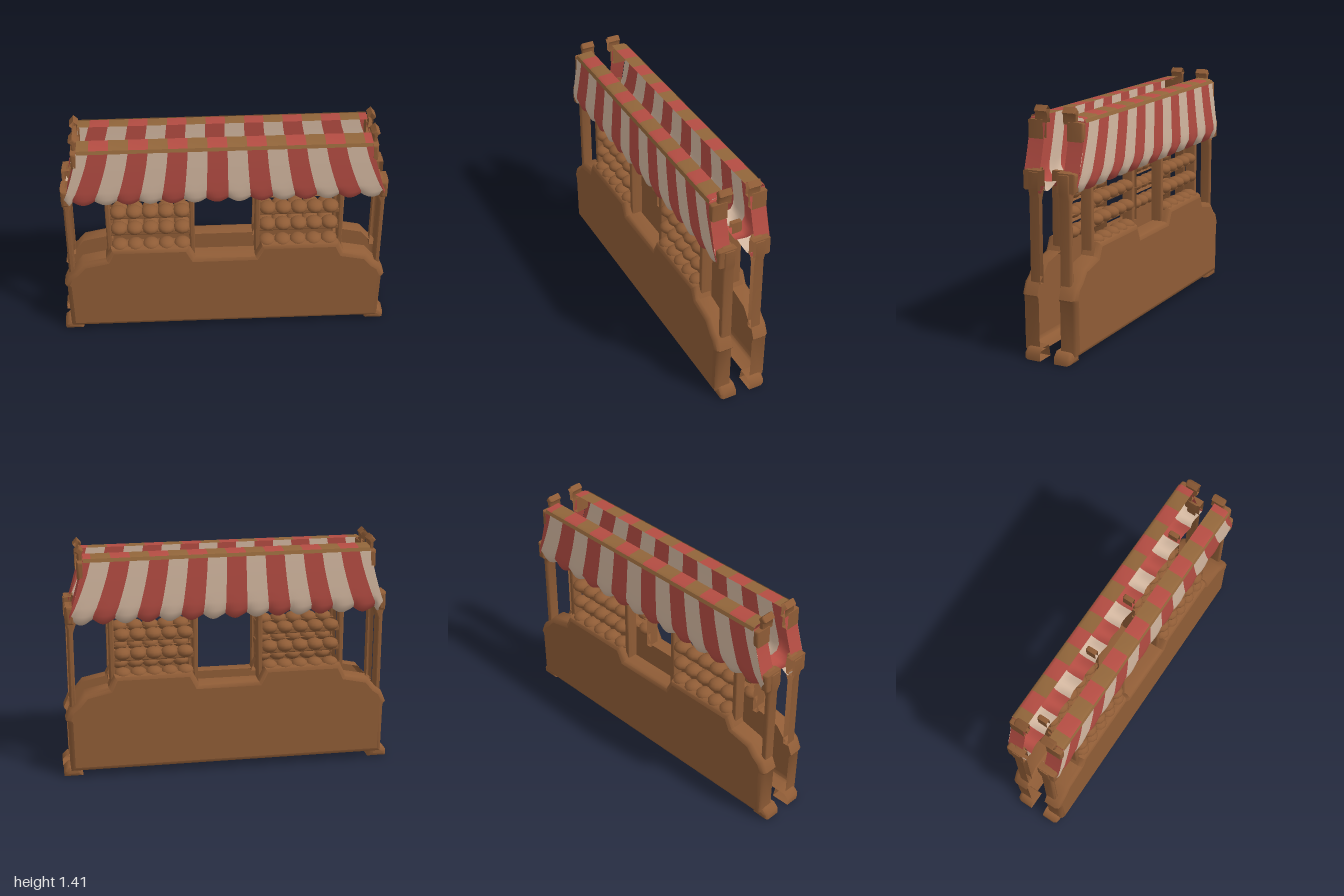
import * as THREE from 'three';
import { toCreasedNormals } from 'three/addons/utils/BufferGeometryUtils.js';

const flat = (name, color) => new THREE.MeshStandardMaterial({ name, color, side: THREE.DoubleSide });

// Surface grid from a rule f(i, j) -> [x, y, z]; i runs right, j runs up
function grid(nu, nv, f) {
  const pos = [], idx = [];
  for (let j = 0; j <= nv; j++) for (let i = 0; i <= nu; i++) pos.push(...f(i, j));
  for (let j = 0; j < nv; j++) for (let i = 0; i < nu; i++) {
    const a = j * (nu + 1) + i, c = a + nu + 1;
    idx.push(a, a + 1, c, a + 1, c + 1, c);
  }
  const g = new THREE.BufferGeometry();
  g.setAttribute('position', new THREE.Float32BufferAttribute(pos, 3));
  g.setIndex(idx);
  g.computeVertexNormals();
  return g;
}

// Open-backed relief: counter-clockwise outline, rounded rim and flat face
function shell(pts, zBack, zFront, bevel) {
  const n = pts.length;
  const inset = d => pts.map((p, i) => {
    const a = pts[(i + n - 1) % n], b = pts[(i + 1) % n];
    const e = new THREE.Vector2(p[0] - a[0], p[1] - a[1]).normalize();
    const f = new THREE.Vector2(b[0] - p[0], b[1] - p[1]).normalize();
    const k = d / Math.max(0.5, 1 + e.dot(f));
    return new THREE.Vector2(p[0] - (e.y + f.y) * k, p[1] + (e.x + f.x) * k);
  });
  const rim = [[0, zBack], [0, zFront - bevel], [0.3, zFront - bevel * 0.3], [1, zFront]]
    .map(([t, z]) => ({ ring: inset(t * bevel), z }));
  const wall = toCreasedNormals(grid(n, 3, (i, j) => {
    const p = rim[j].ring[i % n];
    return [p.x, p.y, rim[j].z];
  }), 0.9);
  const face = new THREE.ShapeGeometry(new THREE.Shape(rim[3].ring));
  face.translate(0, 0, zFront);
  return [wall, face];
}

// Copy of a geometry for the back half, keeping its faces turned outward
function flipped(geo) {
  const g = geo.index ? geo.toNonIndexed() : geo.clone();
  g.scale(1, 1, -1);
  const idx = [];
  for (let i = 0; i < g.attributes.position.count; i += 3) idx.push(i, i + 2, i + 1);
  g.setIndex(idx);
  return g;
}

export function createModel() {
  const root = new THREE.Group();
  root.name = 'marketStall';
  const wood = flat('wood brown', 0x8f5c36);
  const ridgeWood = flat('ridge brown', 0x91653a);
  const red = flat('awning red', 0xb34c42);
  const cream = flat('awning cream', 0xd2b69f);

  const front = new THREE.Group(), back = new THREE.Group();
  front.name = 'frontHalf';
  back.name = 'backHalf';
  root.add(front, back);

  // Each part appears on the front half and again on the back half
  const add = (name, material, ...geos) => geos.flat().forEach(g => {
    [[front, g], [back, flipped(g)]].forEach(([half, geo]) => {
      const m = new THREE.Mesh(geo, material);
      m.name = name;
      half.add(m);
    });
  });
  const mirrorX = (pts, s) => s > 0 ? pts : pts.map(([x, y]) => [-x, y]).reverse();
  const rect = (x0, x1, y0, y1) => [[x0, y0], [x1, y0], [x1, y1], [x0, y1]];

  // Counter with stepped top
  const half = [[0.96, 0.04], [0.965, 0.35], [0.98, 0.37], [0.95, 0.44], [0.91, 0.47],
    [0.86, 0.53], [0.72, 0.56], [0.685, 0.635], [0.22, 0.635], [0.18, 0.555]];
  add('counter', wood, shell([...half, ...mirrorX(half, -1)], 0.068, 0.172, 0.028));

  for (const s of [1, -1]) {
    // Feet
    add('foot', wood, shell(mirrorX([[0.885, 0], [1, 0], [1, 0.04], [0.97, 0.07], [0.9, 0.07]], s), 0.045, 0.15, 0.025));

    // Outer posts with flared brackets
    add('outerPost', wood, shell(mirrorX([[0.915, 0.43], [0.95, 0.43], [0.95, 0.92], [0.96, 0.96],
      [0.96, 1.06], [0.9, 1.08], [0.89, 0.97], [0.915, 0.9]], s), 0.065, 0.13, 0.012));
    add('bracket', wood, shell(mirrorX(rect(0.91, 0.955, 0.96, 1.07), s), 0.05, 0.165, 0.015));

    // Upper posts and finials
    add('upperPost', wood, shell(mirrorX(rect(0.84, 0.88, 1.23, 1.335), s), 0.075, 0.172, 0.012));
    add('finial', wood, shell(mirrorX([[0.845, 1.32], [0.875, 1.32], [0.875, 1.37], [0.89, 1.385],
      [0.865, 1.415], [0.84, 1.39], [0.85, 1.37]], s), 0.05, 0.13, 0.01));

    // Shelf posts
    for (const x of [0.195, 0.693])
      add('shelfPost', wood, shell(mirrorX(rect(x - 0.015, x + 0.015, 0.54, 1.02), s), 0.06, 0.128, 0.008));

    // Shelves
    for (const y of [0.71, 0.83])
      add('shelf', wood, shell(mirrorX(rect(0.2, 0.69, y, y + 0.035), s), 0.05, 0.125, 0.008));

    // Rounded goods in rows
    for (const [y, z] of [[0.628, 0.105], [0.748, 0.1], [0.865, 0.095]])
      for (let i = 0; i < 5; i++) {
        const g = new THREE.SphereGeometry(1, 12, 8);
        g.scale(0.052, 0.036, 0.055);
        g.translate(s * (0.255 + i * 0.094), y, z);
        add('goods', wood, g);
      }
  }

  // Awning outline: half width at height y, and x of stripe boundary k
  const flare = y => THREE.MathUtils.clamp((1.36 - y) / 0.36, 0, 1) ** 1.3;
  const halfWidth = y => 0.845 + 0.095 * flare(y);
  const edgeX = (k, y) => {
    const x = THREE.MathUtils.lerp(-0.1 + 0.1125 * k, -0.11 + 0.13 * k, flare(y));
    return THREE.MathUtils.clamp(x, -halfWidth(y), halfWidth(y));
  };

  // Striped awning with scalloped valance curling inward
  const profile = [[0.955, 0.06], [0.955, 0.12], [0.97, 0.155], [1.01, 0.17], [1.06, 0.172],
    [1.12, 0.172], [1.18, 0.172], [1.25, 0.172], [1.34, 0.17]];
  const top = [[1.345, 0.168], [1.357, 0.15], [1.36, 0.07]];
  for (let k = -7; k <= 8; k++) {
    const isRed = k % 2 === 0;
    add(isRed ? 'redStripe' : 'creamStripe', isRed ? red : cream, grid(8, profile.length - 1, (i, j) => {
      const [y, z] = profile[j], u = i / 8;
      const drop = Math.max(0, 1 - j / 4);
      const x = THREE.MathUtils.lerp(edgeX(k, y), edgeX(k + 1, y), u);
      const wave = Math.sin(Math.PI * u);
      return [x, y + drop * (0.03 - 0.045 * wave), z - drop * 0.02 * (1 - wave)];
    }));
    // Awning top, red over red stripes and wood over cream ones
    add('awningTop', isRed ? red : ridgeWood, grid(1, 2, (i, j) => [edgeX(k + i, 1.36), ...top[j]]));
  }

  // Ridge board along the upper front edge
  add('ridgeBoard', ridgeWood, grid(1, 1, (i, j) => [i ? 0.845 : -0.845, j ? 1.352 : 1.332, j ? 0.166 : 0.174]));

  // Awning side cheeks
  for (const s of [1, -1])
    add('awningCheek', red, grid(1, 5, (i, j) => {
      const y = 1.04 + j * 0.06;
      return [s * halfWidth(y), y, (s > 0) === (i === 0) ? 0.17 : 0.075];
    }));

  return root;
}
